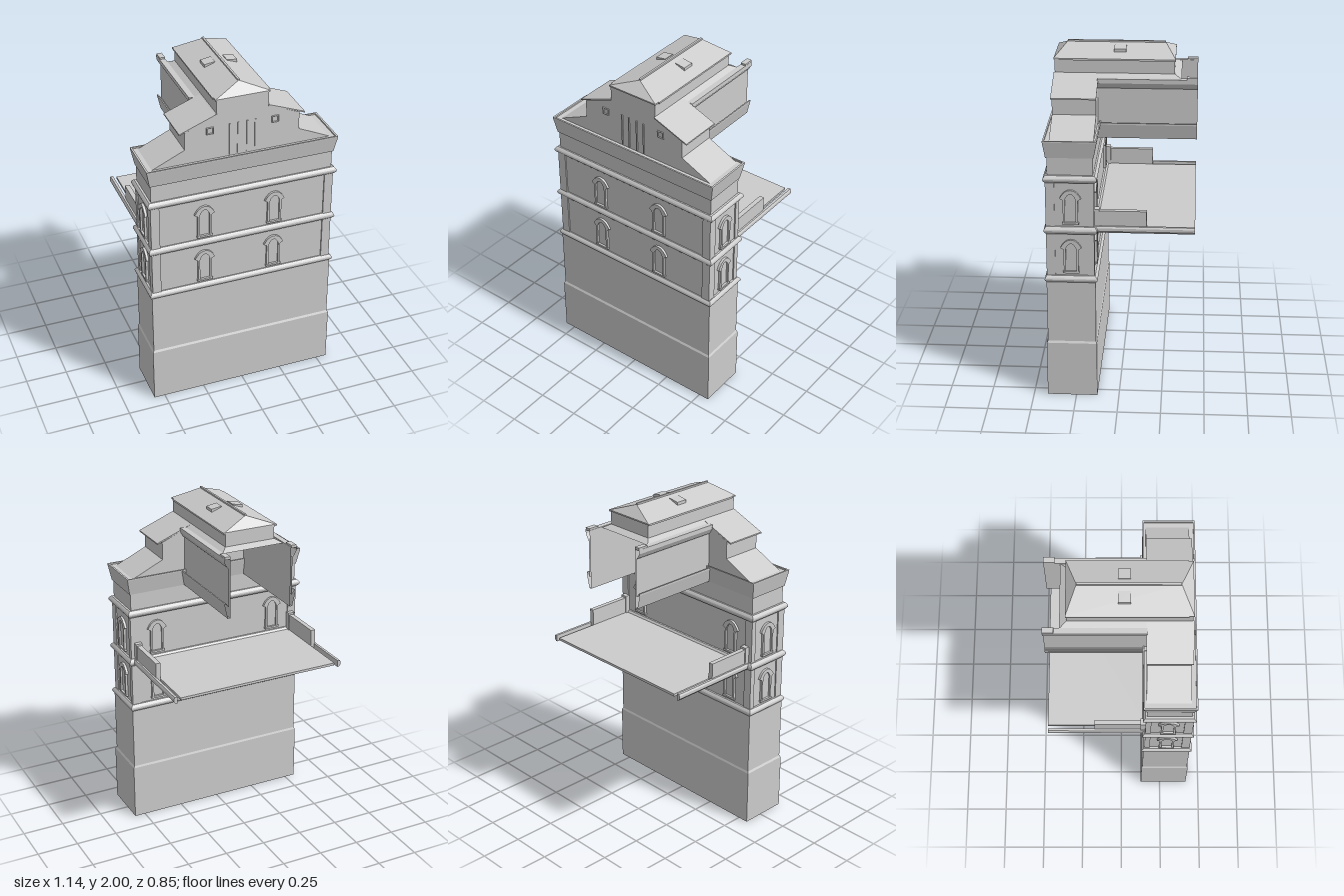
import * as THREE from 'three';

const material = new THREE.MeshStandardMaterial({ color: 0xcccccc, flatShading: true, side: THREE.DoubleSide });

// Flat-sided surface from a list of four-cornered faces
function quads(faces) {
  const p = [];
  for (const [a, b, c, d] of faces) p.push(...a, ...b, ...c, ...a, ...c, ...d);
  const g = new THREE.BufferGeometry();
  g.setAttribute('position', new THREE.Float32BufferAttribute(p, 3));
  g.computeVertexNormals();
  return g;
}

// Rectangular rings [half width, back z, front z, y] joined from bottom to top
function loft(rings, capTop = false, capBottom = false) {
  const r = rings.map(([h, b, f, y]) => [[h, y, f], [h, y, b], [-h, y, b], [-h, y, f]]);
  const faces = [];
  for (let i = 0; i < r.length - 1; i++)
    for (let k = 0; k < 4; k++) {
      const n = (k + 1) % 4;
      faces.push([r[i][k], r[i][n], r[i + 1][n], r[i + 1][k]]);
    }
  if (capTop) faces.push(r[r.length - 1]);
  if (capBottom) faces.push([...r[0]].reverse());
  return quads(faces);
}

// Closed outline in x, y extruded between two depths
function prism(points, z0, z1) {
  const s = new THREE.Shape(points.map(([x, y]) => new THREE.Vector2(x, y)));
  return new THREE.ExtrudeGeometry(s, { depth: z1 - z0, bevelEnabled: false }).translate(0, 0, z0);
}

// Open outline in x, y swept between two depths
function strip(points, z0, z1) {
  const faces = [];
  for (let i = 0; i < points.length - 1; i++) {
    const [x, y] = points[i], [u, v] = points[i + 1];
    faces.push([[x, y, z1], [x, y, z0], [u, v, z0], [u, v, z1]]);
  }
  return quads(faces);
}

function box(x0, x1, y0, y1, z0, z1) {
  return new THREE.BoxGeometry(x1 - x0, y1 - y0, z1 - z0)
    .translate((x0 + x1) / 2, (y0 + y1) / 2, (z0 + z1) / 2);
}

function add(parent, name, geometry) {
  const m = new THREE.Mesh(geometry, material);
  m.name = name;
  parent.add(m);
  return m;
}

// Arched window with a wide hood and a sill, base at y = 0, facing +z
function makeWindow() {
  const g = new THREE.Group();
  g.name = 'archedWindow';
  const outline = (w, hood, spring, top) => {
    const s = new THREE.Shape();
    s.moveTo(-w, 0.01);
    s.lineTo(w, 0.01);
    s.lineTo(w, spring - 0.01);
    s.lineTo(hood, spring);
    s.quadraticCurveTo(hood * 0.6, top, 0, top);
    s.quadraticCurveTo(-hood * 0.6, top, -hood, spring);
    s.lineTo(-w, spring - 0.01);
    s.closePath();
    return s;
  };
  const frame = outline(0.042, 0.06, 0.155, 0.205);
  frame.holes.push(outline(0.03, 0.03, 0.148, 0.182));
  add(g, 'windowFrame', new THREE.ExtrudeGeometry(frame, { depth: 0.014, bevelEnabled: false, curveSegments: 6 }));
  add(g, 'windowPane', new THREE.ShapeGeometry(outline(0.031, 0.031, 0.148, 0.183), 6).translate(0, 0, 0.003));
  add(g, 'windowSill', box(-0.046, 0.046, 0, 0.012, 0, 0.016));
  return g;
}

export function createModel() {
  const model = new THREE.Group();
  model.name = 'building';

  // Plain lower wall, open underneath, with a small set-back
  add(model, 'lowerWall', loft([
    [0.565, 0.127, 0.419, 0], [0.565, 0.127, 0.419, 0.34],
    [0.558, 0.132, 0.412, 0.352], [0.558, 0.132, 0.412, 0.74]]));

  // Two storeys with corner piers and arched windows
  for (const [y0, y1] of [[0.76, 1.04], [1.06, 1.345]]) {
    add(model, 'storeyWall', loft([[0.545, 0.145, 0.402, y0], [0.545, 0.145, 0.402, y1]]));
    for (const s of [-1, 1]) {
      const [a, b] = s > 0 ? [0.5, 0.552] : [-0.552, -0.5];
      add(model, 'cornerPier', box(a, b, y0, y1, 0.36, 0.41));
      add(model, 'cornerPier', box(a, b, y0, y1, 0.138, 0.17));
    }
    const base = y0 + 0.027;
    const places = [[-0.235, 0.402, 0], [0.19, 0.402, 0], [0.545, 0.27, Math.PI / 2],
      [-0.545, 0.27, -Math.PI / 2], [0.385, 0.145, Math.PI], [-0.385, 0.145, Math.PI]];
    for (const [x, z, turn] of places) {
      const w = makeWindow();
      w.position.set(x, base, z);
      w.rotation.y = turn;
      model.add(w);
    }
  }

  // Rounded string courses
  for (const [y0, y1] of [[0.727, 0.77], [1.027, 1.072], [1.335, 1.378]]) {
    const rings = [[0.54, 0.15, 0.4, y0]];
    for (let i = 0; i <= 6; i++) {
      const t = i / 6, o = 0.014 * Math.sin(Math.PI * t);
      rings.push([0.556 + o, 0.134 - o, 0.408 + o, y0 + (y1 - y0) * t]);
    }
    rings.push([0.54, 0.15, 0.4, y1]);
    add(model, 'stringCourse', loft(rings));
  }

  // Frieze, flared parapet and flat roof
  add(model, 'parapet', loft([
    [0.544, 0.143, 0.398, 1.37], [0.544, 0.143, 0.398, 1.48], [0.55, 0.138, 0.405, 1.48],
    [0.568, 0.12, 0.419, 1.575], [0.568, 0.12, 0.419, 1.582],
    [0.557, 0.128, 0.41, 1.582], [0.557, 0.128, 0.41, 1.573]], true));

  // Stepped gable block with sloping shoulders
  const half = [[0.53, 1.572], [0.338, 1.66], [0.338, 1.765], [0.15, 1.842]];
  const mirrored = half.map(([x, y]) => [-x, y]).reverse();
  add(model, 'gable', prism([...half, ...mirrored], 0.138, 0.385));
  for (const s of [-1, 1]) {
    add(model, 'eaveRoof', prism([[s * 0.37, 1.757], [s * 0.15, 1.842], [s * 0.15, 1.85], [s * 0.37, 1.765]], 0.135, 0.39));
    add(model, 'gableWindow', new THREE.TorusGeometry(0.026, 0.005, 4, 4).rotateZ(Math.PI / 4).translate(s * 0.192, 1.752, 0.386));
    for (const x of [0.027, 0.075])
      add(model, 'gableFin', box(s * x - 0.004, s * x + 0.004, 1.582, 1.775, 0.38, 0.391));
  }

  // Raised lantern with hipped roof, ridge cap and hatches
  add(model, 'lanternSkirt', loft([[0.19, -0.335, 0.385, 1.83], [0.153, -0.295, 0.385, 1.85]]));
  add(model, 'lanternWall', loft([[0.153, -0.295, 0.384, 1.84], [0.153, -0.295, 0.384, 1.93]]));
  add(model, 'lanternRoof', loft([[0.16, -0.3, 0.389, 1.927], [0.16, -0.3, 0.389, 1.935], [0, -0.24, 0.32, 1.993]]));
  add(model, 'ridgeCap', box(-0.006, 0.006, 1.985, 2, -0.24, 0.32));
  for (const s of [-1, 1]) {
    add(model, 'roofHatch', prism([[s * 0.035, 1.975], [s * 0.098, 1.95], [s * 0.098, 1.975], [s * 0.035, 1.985]], -0.018, 0.05));
    add(model, 'lanternGutter', box(s * 0.16 - 0.006, s * 0.16 + 0.006, 1.925, 1.935, -0.3, 0.36));
  }

  // Rear hall walls with flared foot and projecting cornice
  const wall = [[0.195, 1.48], [0.203, 1.48], [0.223, 1.565], [0.223, 1.575], [0.216, 1.575], [0.198, 1.55],
    [0.198, 1.775], [0.206, 1.782], [0.222, 1.81], [0.222, 1.835], [0.188, 1.835], [0.188, 1.48], [0.195, 1.48]];
  for (const s of [-1, 1]) {
    add(model, 'hallWall', strip(wall.map(([x, y]) => [s * x, y]), -0.427, 0.14));
    add(model, 'corniceEnd', box(s * 0.205 - 0.016, s * 0.205 + 0.016, 1.83, 1.846, -0.427, -0.365));
  }

  // Rear terrace: floor, separate edge mouldings and short parapets
  add(model, 'terraceFloor', box(-0.498, 0.498, 1.045, 1.06, -0.427, 0.145));
  const edge = [[0.52, 1.03], [0.53, 1.03], [0.541, 1.043], [0.541, 1.06], [0.535, 1.07], [0.52, 1.07]];
  for (const s of [-1, 1]) {
    add(model, 'terraceEdge', prism(edge.map(([x, y]) => [s * x, y]), -0.427, 0.14));
    add(model, 'terraceParapet', box(s * 0.511 - 0.014, s * 0.511 + 0.014, 1.045, 1.16, -0.155, 0.14));
    add(model, 'parapetPost', box(s * 0.511 - 0.02, s * 0.511 + 0.02, 1.045, 1.172, 0.11, 0.14));
  }

  return model;
}
